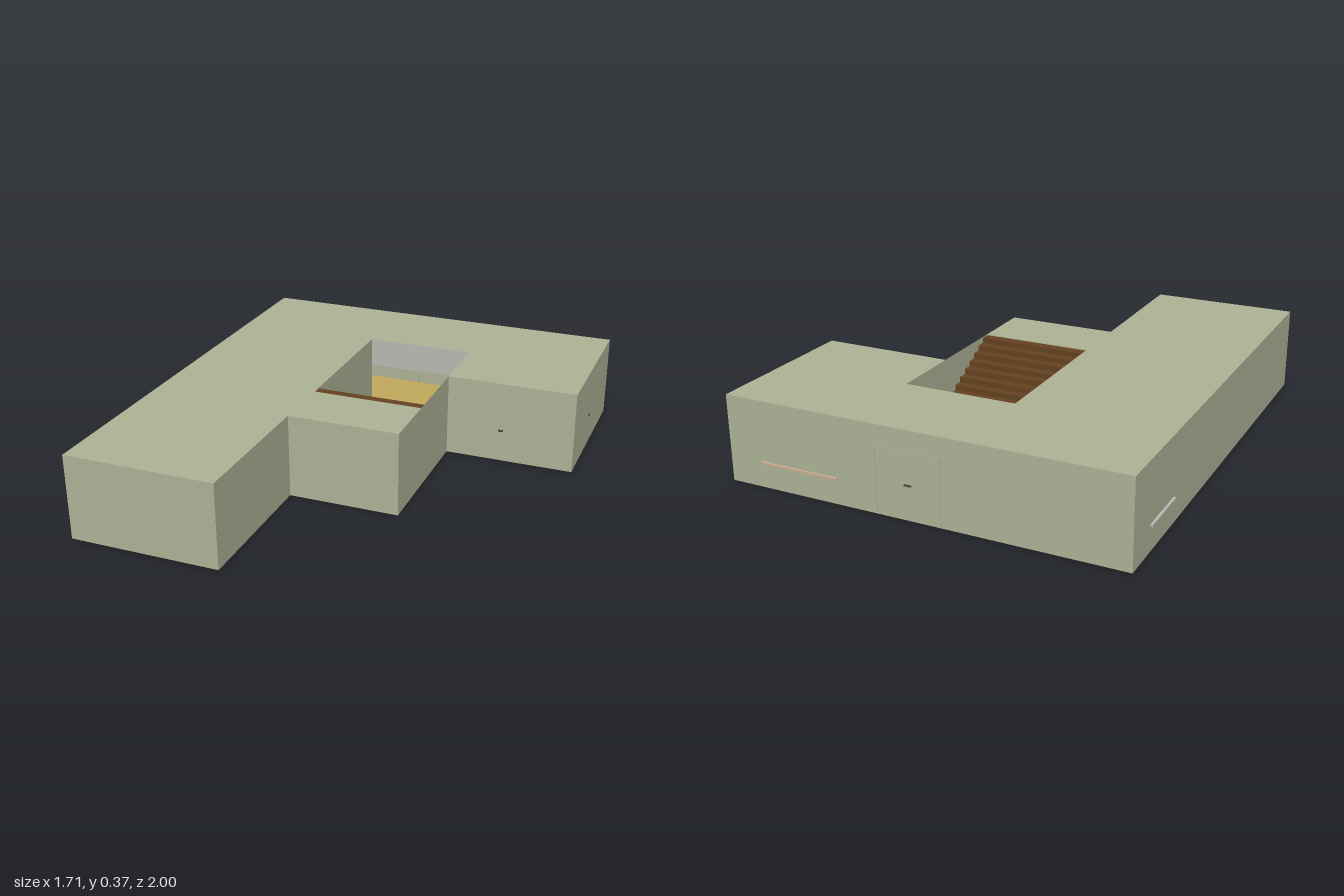
import * as THREE from 'three';

const H = 0.365; // storey height

const paint = (color) => new THREE.MeshStandardMaterial({ color, side: THREE.DoubleSide });
const green = paint(0xafb497);
const grey = paint(0xbcbcb6);
const brown = paint(0x654321);
const yellow = paint(0xc2ab5c);
const dark = paint(0x4a4a44);
const tan = paint(0xc8b090);

// Ground plan corners as [x, z], walked so that walls face outward
const footprint = [
  [-0.845, 1], [-0.2, 1], [-0.2, 0.36], [0.28, 0.36],
  [0.28, -0.28], [0.85, -0.28], [0.85, -0.99], [-0.845, -0.99],
];
// Roof plan: the same outline, cut in around the open stairwell
const roofPlan = [
  ...footprint.slice(0, 4),
  [0.28, 0.09], [-0.2, 0.09], [-0.2, -0.59], [0.28, -0.59],
  ...footprint.slice(4),
];

export function createModel() {
  const model = new THREE.Group();

  const add = (name, geometry, material, x = 0, y = 0, z = 0, parent = model) => {
    const mesh = new THREE.Mesh(geometry, material);
    mesh.name = name;
    mesh.position.set(x, y, z);
    parent.add(mesh);
    return mesh;
  };
  const box = (name, material, w, h, d, x, y, z, parent) =>
    add(name, new THREE.BoxGeometry(w, h, d), material, x, y, z, parent);

  // Horizontal sheet from a plan
  const sheet = (name, plan, material, y) => {
    const shape = new THREE.Shape(plan.map(([x, z]) => new THREE.Vector2(x, -z)));
    add(name, new THREE.ShapeGeometry(shape).rotateX(-Math.PI / 2), material, 0, y);
  };
  // Upright panel between two plan points
  const wall = (name, a, b, material, y0 = 0, y1 = H) => {
    const dx = b[0] - a[0], dz = b[1] - a[1];
    const mesh = add(name, new THREE.PlaneGeometry(Math.hypot(dx, dz), y1 - y0), material,
      (a[0] + b[0]) / 2, (y0 + y1) / 2, (a[1] + b[1]) / 2);
    mesh.rotation.y = -Math.atan2(dz, dx);
  };

  sheet('base', footprint, green, 0);
  sheet('roof', roofPlan, green, H);
  sheet('floor', footprint, yellow, 0.004);
  footprint.forEach((p, i) =>
    wall('outerWall', p, footprint[(i + 1) % footprint.length], green));

  // Stairwell: side walls, and a lintel above the opening into the back room
  wall('stairwellLeftWall', [-0.2, 0.09], [-0.2, -0.59], green);
  wall('stairwellRightWall', [0.28, -0.59], [0.28, -0.28], green);
  wall('stairwellFrontWall', [0.28, 0.09], [-0.2, 0.09], green);
  wall('stairwellLintel', [-0.2, -0.59], [0.28, -0.59], grey, 0.235, H);

  // Staircase rising toward the front
  const stairs = new THREE.Group();
  stairs.name = 'staircase';
  model.add(stairs);
  const steps = 16, run = 0.678 / steps;
  for (let i = 0; i < steps; i++) {
    const h = ((i + 1) / steps) * (H - 0.008);
    box('step', brown, 0.474, h, run, 0.04, 0.005 + h / 2, -0.59 + run * (i + 0.5), stairs);
  }

  // Window sills
  box('backSill', tan, 0.35, 0.01, 0.012, 0.525, 0.107, -0.994);
  box('sideSill', grey, 0.012, 0.01, 0.24, -0.849, 0.107, -0.71);

  // Back door trim
  for (const x of [-0.095, 0.18]) box('doorJamb', green, 0.004, 0.28, 0.004, x, 0.14, -0.99);
  box('doorHead', green, 0.279, 0.004, 0.004, 0.0425, 0.28, -0.99);

  // Door handles
  box('backDoorHandle', dark, 0.03, 0.006, 0.012, 0.04, 0.145, -0.99);
  box('frontDoorHandle', dark, 0.02, 0.006, 0.012, 0.525, 0.145, -0.277);
  box('sideDoorHandle', dark, 0.012, 0.006, 0.02, 0.849, 0.145, -0.59);

  return model;
}
